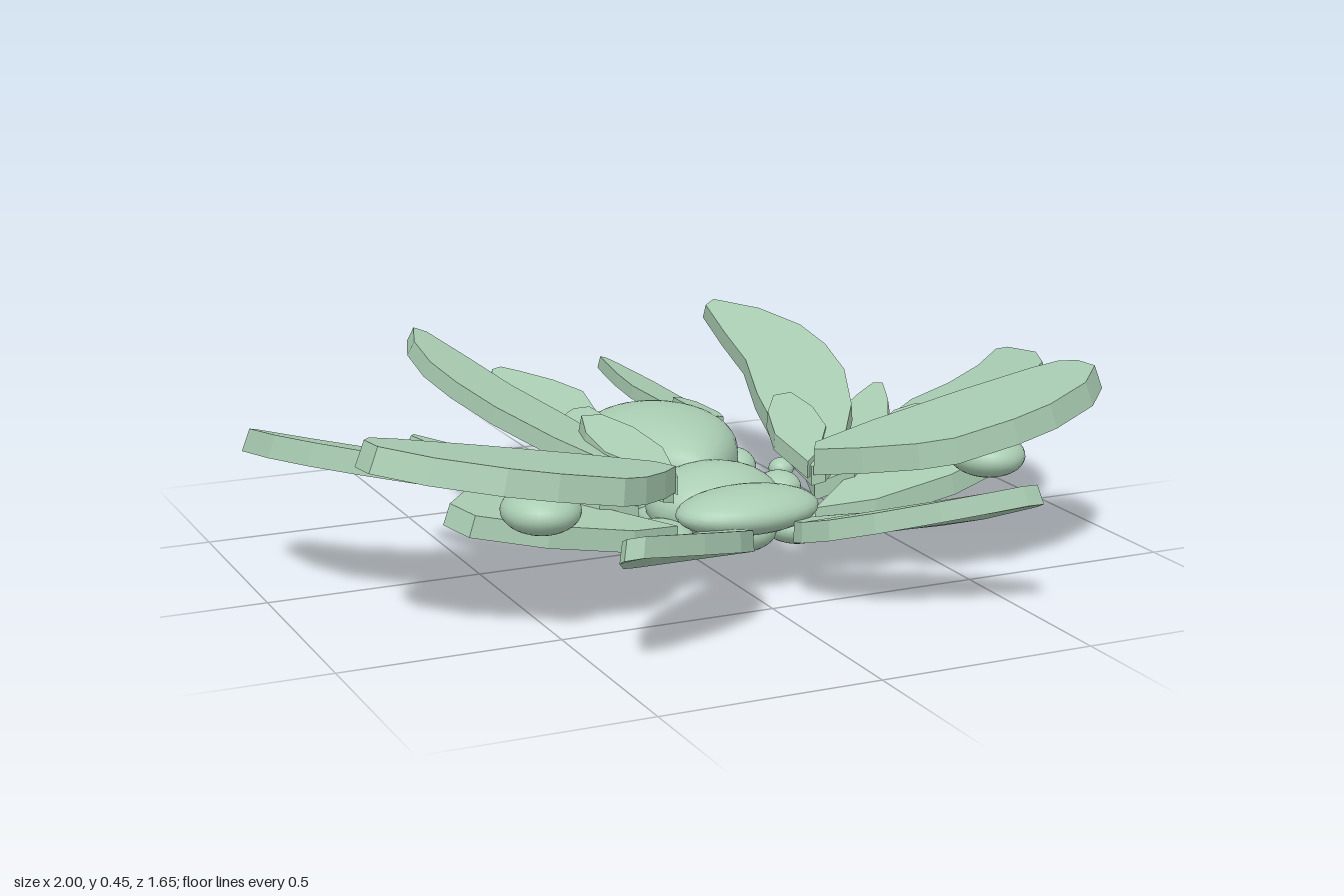
import * as THREE from 'three';

export function createModel() {
  const model = new THREE.Group();
  model.name = 'flowerCreature';
  const sage = new THREE.MeshStandardMaterial({ color: 0xa9ccb2 });
  sage.name = 'sageGreen';

  function add(geometry, name) {
    const mesh = new THREE.Mesh(geometry, sage);
    mesh.name = name;
    model.add(mesh);
    return mesh;
  }

  // A mirrored pair of slab petals: plan outline [x, z] starting at the base,
  // top height rule, thickness. The top face is drawn in a little toward the base.
  function petalPair(name, outline, top, thickness) {
    const [baseX, baseZ] = outline[0];
    for (const side of [1, -1]) {
      const shape = new THREE.Shape(outline.map(([x, z]) => new THREE.Vector2(side * x, -z)));
      const geo = new THREE.ExtrudeGeometry(shape, { depth: thickness, bevelEnabled: false });
      const p = geo.attributes.position;
      for (let i = 0; i < p.count; i++) {
        const d = p.getZ(i);
        const inset = d > 0 ? 0.97 : 1;
        const x = baseX + (Math.abs(p.getX(i)) - baseX) * inset;
        const z = baseZ + (-p.getY(i) - baseZ) * inset;
        p.setXYZ(i, side * x, top(x, z) - thickness + d, z);
      }
      geo.computeVertexNormals();
      add(geo, (side > 0 ? 'left' : 'right') + name);
    }
  }

  // Smooth ellipsoid lump
  function lump(name, [x, y, z], [rx, ry, rz]) {
    const mesh = add(new THREE.SphereGeometry(1, 28, 18).scale(rx, ry, rz), name);
    mesh.position.set(x, y, z);
  }
  function lumpPair(name, [x, y, z], r) {
    lump('left' + name, [x, y, z], r);
    lump('right' + name, [-x, y, z], r);
  }

  // Front petals, curling up toward the tips
  petalPair('FrontPetal', [
    [0.12, 0.41], [0.07, 0.46], [0.065, 0.51], [0.09, 0.59], [0.16, 0.67], [0.28, 0.745], [0.38, 0.79],
    [0.45, 0.82], [0.49, 0.815], [0.49, 0.79], [0.43, 0.67], [0.37, 0.59], [0.28, 0.51], [0.18, 0.43],
  ], (x, z) => 0.178 + 0.22 * (z - 0.45) + 0.4 * (z - 0.45) ** 2, 0.048);

  // Broad front side petals
  petalPair('BroadPetal', [
    [0.17, 0.36], [0.2, 0.31], [0.36, 0.285], [0.6, 0.275], [0.8, 0.28], [0.87, 0.295], [0.895, 0.34],
    [0.89, 0.42], [0.8, 0.52], [0.66, 0.59], [0.55, 0.61], [0.4, 0.605], [0.33, 0.56], [0.24, 0.46],
  ], (x, z) => 0.442 + 0.19 * (x - 0.87) + 0.07 * (z - 0.35), 0.06);

  // Lower petals tucked under the broad ones
  petalPair('LowerPetal', [
    [0.17, 0.37], [0.3, 0.27], [0.43, 0.18], [0.55, 0.15], [0.62, 0.2], [0.69, 0.3],
    [0.66, 0.38], [0.5, 0.425], [0.3, 0.425],
  ], (x, z) => 0.185 + 0.18 * (x - 0.2) - 0.06 * (z - 0.3), 0.05);

  // Outermost side petals and the small petals over their bases
  petalPair('SidePetal', [
    [0.44, 0.16], [0.55, 0.05], [0.63, -0.01], [0.75, -0.03], [0.87, -0.09], [0.98, -0.185], [1, -0.16],
    [0.985, 0], [0.93, 0.12], [0.85, 0.2], [0.74, 0.255], [0.6, 0.265], [0.46, 0.24],
  ], (x, z) => 0.357 + 0.25 * (x - 0.98) + 0.16 * (z + 0.17), 0.055);
  petalPair('SideBasePetal', [
    [0.43, 0.23], [0.45, 0.17], [0.51, 0.115], [0.57, 0.11], [0.62, 0.16], [0.615, 0.22],
    [0.58, 0.255], [0.48, 0.265],
  ], (x) => 0.3 + 0.15 * (x - 0.45), 0.045);

  // Pointed petals between side and back
  petalPair('PointedPetal', [
    [0.22, 0.27], [0.27, 0.12], [0.37, 0], [0.47, -0.08], [0.55, -0.135], [0.61, -0.165], [0.625, -0.14],
    [0.58, -0.03], [0.52, 0.08], [0.43, 0.19], [0.32, 0.28],
  ], (x) => 0.2 + 0.28 * (x - 0.22), 0.04);

  // Long back petals banked inward
  petalPair('LongPetal', [
    [0.17, 0.35], [0.18, 0.25], [0.2, 0.1], [0.25, -0.1], [0.315, -0.3], [0.35, -0.5], [0.39, -0.7],
    [0.42, -0.715], [0.475, -0.55], [0.5, -0.36], [0.49, -0.2], [0.455, -0.03], [0.38, 0.15], [0.28, 0.3], [0.2, 0.36],
  ], (x, z) => 0.27 + 0.31 * (x - 0.18) - 0.087 * (z - 0.35), 0.045);

  // Small petals lying on the long ones
  petalPair('InnerPetal', [
    [0.16, 0.35], [0.14, 0.22], [0.17, 0.12], [0.22, 0.05], [0.27, 0.045], [0.29, 0.12], [0.28, 0.21], [0.21, 0.31],
  ], (x, z) => 0.28 - 0.28 * (z - 0.35), 0.04);

  // Narrow tail petals banked outward
  petalPair('TailPetal', [
    [0.13, -0.13], [0.09, -0.28], [0.065, -0.43], [0.085, -0.58], [0.12, -0.74], [0.14, -0.82], [0.16, -0.83],
    [0.178, -0.79], [0.213, -0.64], [0.23, -0.48], [0.225, -0.32], [0.2, -0.2], [0.17, -0.12],
  ], (x, z) => 0.26 - 0.38 * (x - 0.15) - 0.04 * (z + 0.4), 0.035);
  petalPair('TailBasePetal', [
    [0.14, -0.1], [0.11, -0.18], [0.11, -0.28], [0.14, -0.31], [0.18, -0.29], [0.19, -0.18], [0.17, -0.11],
  ], (x) => 0.28 - 0.3 * (x - 0.15), 0.04);

  // Heart-shaped back dome: a flat-topped sphere narrowed toward the front
  const dome = new THREE.SphereGeometry(1, 36, 24);
  const p = dome.attributes.position;
  for (let i = 0; i < p.count; i++) {
    const y = p.getY(i), z = p.getZ(i);
    const narrow = z > 0 ? 1 - 0.4 * z * z : 1;
    p.setXYZ(i, p.getX(i) * 0.19 * narrow, 0.2 + Math.sign(y) * Math.abs(y) ** 0.75 * 0.115, -0.13 + z * (z > 0 ? 0.29 : 0.21));
  }
  dome.computeVertexNormals();
  add(dome, 'backDome');

  // Body, chest, head and belly
  lump('body', [0, 0.15, -0.05], [0.19, 0.08, 0.28]);
  lump('chest', [0, 0.165, 0.19], [0.16, 0.09, 0.135]);
  lump('head', [0, 0.193, 0.37], [0.17, 0.052, 0.105]);
  lump('chin', [0, 0.14, 0.34], [0.08, 0.05, 0.08]);
  lump('belly', [0, 0.065, -0.1], [0.155, 0.065, 0.155]);
  lump('frontBelly', [0, 0.13, 0.14], [0.16, 0.055, 0.16]);

  // Lumps along the underside
  lumpPair('FrontLump', [0.17, 0.115, 0.27], [0.08, 0.045, 0.09]);
  lumpPair('MiddleLump', [0.22, 0.15, 0.09], [0.05, 0.035, 0.055]);
  lumpPair('SmallLump', [0.26, 0.17, 0.02], [0.03, 0.025, 0.03]);
  lumpPair('RearLump', [0.19, 0.155, -0.09], [0.05, 0.045, 0.06]);
  lumpPair('HipLump', [0.15, 0.165, -0.19], [0.085, 0.05, 0.09]);
  lumpPair('PetalBulb', [0.54, 0.29, 0.49], [0.085, 0.05, 0.095]);
  lumpPair('LongPetalBud', [0.37, 0.335, -0.3], [0.03, 0.025, 0.03]);

  return model;
}
